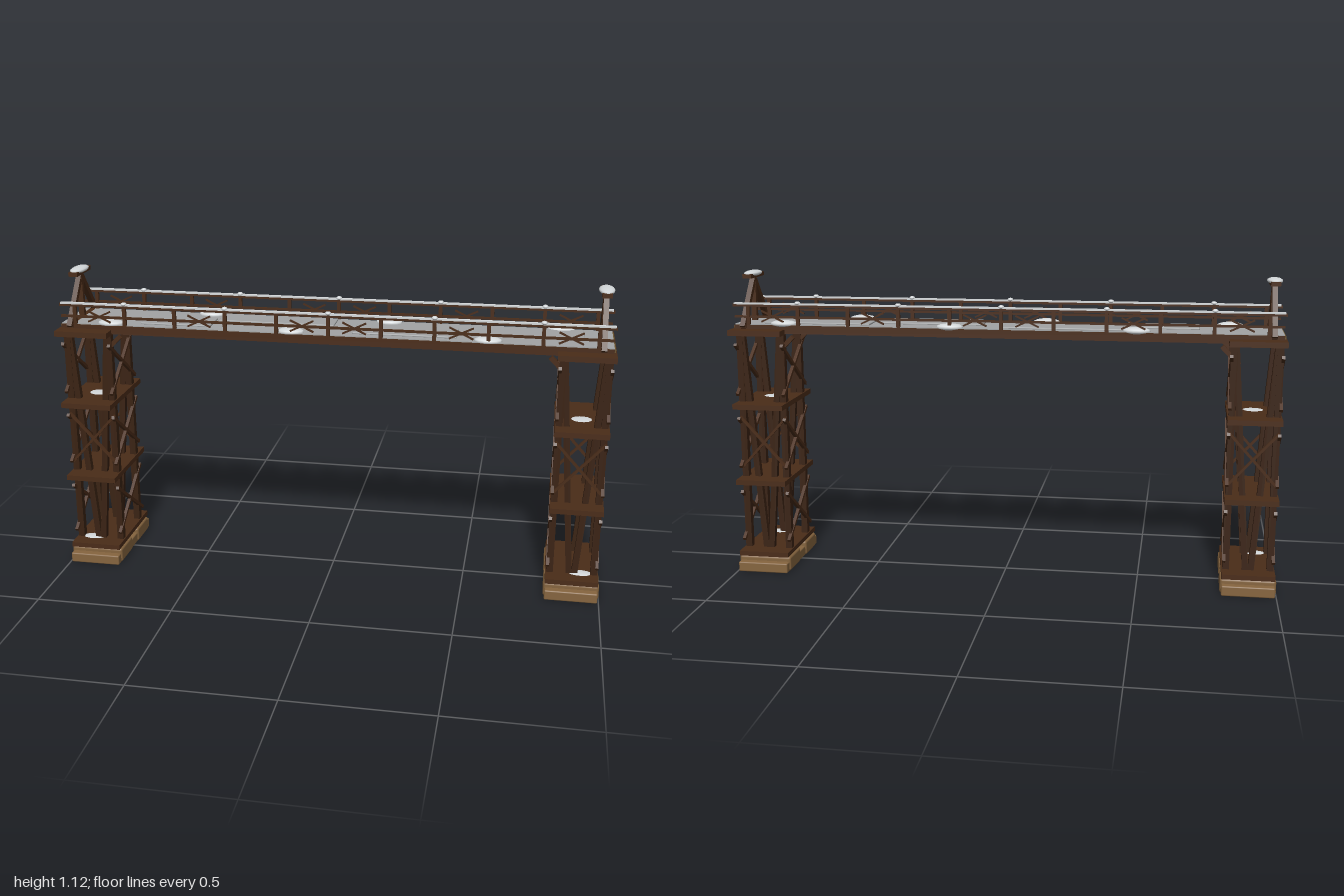
import * as THREE from 'three';
import { RoundedBoxGeometry } from 'three/addons/geometries/RoundedBoxGeometry.js';

const mat = (color) => new THREE.MeshStandardMaterial({ color });
const wood = mat(0x4a2c18), darkWood = mat(0x3a2212), plank = mat(0x6a5530);
const stone = mat(0x86653f), snow = mat(0xd4d8da), packedSnow = mat(0xa2a4a5);

export function createModel() {
  const root = new THREE.Group();
  root.name = 'trestleBridge';

  const add = (parent, name, geometry, material, x = 0, y = 0, z = 0) => {
    const mesh = new THREE.Mesh(geometry, material);
    mesh.name = name;
    mesh.position.set(x, y, z);
    parent.add(mesh);
    return mesh;
  };
  const box = (parent, name, w, h, d, x, y, z, material = wood) =>
    add(parent, name, new THREE.BoxGeometry(w, h, d), material, x, y, z);
  const stoneBlock = (parent, name, w, h, d, x, y, z, r) =>
    add(parent, name, new RoundedBoxGeometry(w, h, d, 2, r), stone, x, y, z);
  const snowLump = (parent, name, rx, ry, rz, x, y, z) => {
    const g = new THREE.SphereGeometry(1, 14, 8).scale(rx, ry, rz);
    return add(parent, name, g, snow, x, y, z);
  };
  // square timber running between two points of the parent's space
  const beam = (parent, name, a, b, t, material = wood) => {
    const p = new THREE.Vector3(...a), q = new THREE.Vector3(...b);
    const mesh = new THREE.Mesh(new THREE.BoxGeometry(t, t, p.distanceTo(q)), material);
    mesh.name = name;
    mesh.position.copy(p).add(q).multiplyScalar(0.5);
    mesh.lookAt(q); // turned before it gets a parent, so the target stays local
    parent.add(mesh);
  };

  // one support tower with its gable
  const tower = (side) => {
    const g = new THREE.Group();
    g.name = side > 0 ? 'leftTower' : 'rightTower';
    g.position.x = side * 0.9;
    root.add(g);

    // footing
    stoneBlock(g, 'footingSlab', 0.19, 0.038, 0.372, 0, 0.019, 0, 0.005);
    for (const z of [-0.097, 0.097]) stoneBlock(g, 'footingBlock', 0.2, 0.057, 0.125, 0, 0.0285, z, 0.01);

    // platforms
    box(g, 'basePlatform', 0.19, 0.018, 0.34, 0, 0.067, 0);
    for (const y of [0.345, 0.633]) box(g, 'middlePlatform', 0.19, 0.019, 0.345, 0, y, 0);
    box(g, 'topPlatform', 0.198, 0.02, 0.352, 0, 0.908, 0);

    for (const z of [-0.097, 0.097]) {
      // corner posts and the inward leaning legs between them
      for (const x of [-0.079, 0.079]) {
        box(g, 'cornerPost', 0.024, 0.84, 0.025, x, 0.487, z, darkWood);
        beam(g, 'leaningLeg', [x * 0.92, 0.9, z], [x * 0.12, 0.07, z], 0.022, darkWood);
      }
      // crossed braces on the front and back faces
      const f = z + Math.sign(z) * 0.016;
      for (const s of [-1, 1])
        beam(g, 'faceBrace', [-s * 0.088, 0.39, f], [s * 0.088, 0.585, f], 0.009);
      // knee brace under the deck
      beam(g, 'kneeBrace', [-side * 0.06, 0.825, z], [-side * 0.122, 0.888, z], 0.016);
    }

    // crossed braces on the end faces
    for (const x of [-0.088, 0.088])
      for (const y of [0.205, 0.488, 0.765])
        for (const s of [-1, 1])
          beam(g, 'endBrace', [x, y - 0.094, -s * 0.131], [x, y + 0.094, s * 0.131], 0.012);

    // gable frame on the deck
    const gx = side * 0.055;
    box(g, 'kingPost', 0.02, 0.17, 0.017, gx, 1.01, 0);
    for (const s of [-1, 1])
      beam(g, 'gableLeg', [gx, 0.925, s * 0.131], [gx, 1.088, s * 0.004], 0.019);
    box(g, 'gableCap', 0.034, 0.015, 0.137, gx, 1.104, 0);
    snowLump(g, 'gableSnow', 0.028, 0.011, 0.064, gx, 1.111, 0);
    box(g, 'gableSill', 0.022, 0.014, 0.26, gx, 0.928, 0);

    // small drifts on the platforms
    snowLump(g, 'platformSnow', 0.045, 0.005, 0.025, 0.03 * side, 0.075, 0.098);
    snowLump(g, 'platformSnow', 0.04, 0.004, 0.035, 0, 0.641, 0.02);
  };
  tower(1);
  tower(-1);

  // deck: side girders, joists, planks and packed snow
  const deck = new THREE.Group();
  deck.name = 'deck';
  root.add(deck);
  for (const z of [-0.112, 0.112]) box(deck, 'girder', 1.98, 0.03, 0.02, 0, 0.917, z);
  for (const z of [-0.04, 0.04]) box(deck, 'stringer', 1.96, 0.012, 0.014, 0, 0.914, z);
  for (let i = 0; i <= 12; i++)
    box(deck, 'joist', 0.016, 0.014, 0.21, -0.96 + i * 0.16, 0.914, 0, darkWood);
  for (let i = 0; i < 5; i++)
    box(deck, 'plank', 1.99, 0.01, 0.044, 0, 0.925, (i - 2) * 0.046, plank);
  box(deck, 'snowCover', 1.98, 0.005, 0.23, 0, 0.9325, 0, packedSnow);

  // raised snow sheets: x, z, width, depth
  for (const [x, z, w, d] of [[-0.215, -0.05, 0.43, 0.1], [-0.57, 0.028, 0.26, 0.115],
    [0.265, 0.022, 0.37, 0.125], [0.69, -0.027, 0.4, 0.125]])
    add(deck, 'snowSheet', new RoundedBoxGeometry(w, 0.008, d, 2, 0.003), packedSnow, x, 0.937, z);

  // drifts along both edges
  for (const [x, z] of [[-0.48, -0.098], [0.19, -0.098], [0.81, -0.098],
    [-0.81, 0.092], [-0.14, 0.092], [0.56, 0.092]])
    snowLump(deck, 'snowDrift', 0.05, 0.014, 0.032, x, 0.936, z);

  // railings
  const bay = 0.1875;
  for (const s of [-1, 1]) {
    const r = new THREE.Group();
    r.name = s > 0 ? 'frontRailing' : 'backRailing';
    r.position.z = s * 0.115;
    root.add(r);
    box(r, 'topRail', 1.99, 0.009, 0.012, 0, 1.004, 0);
    box(r, 'topRailSnow', 1.98, 0.006, 0.014, 0, 1.0105, 0, snow);
    box(r, 'midRail', 1.98, 0.008, 0.009, 0, 0.962, 0);
    for (let i = -5; i <= 5; i++) {
      box(r, 'railPost', 0.013, 0.09, 0.011, i * bay, 0.96, 0);
      if (i % 2 === 0) snowLump(r, 'postSnow', 0.011, 0.007, 0.012, i * bay, 1.014, 0);
    }
    // crossed slats in some bays
    for (const x of [0.094, 0.469, 0.844])
      for (const m of [-1, 1])
        for (const k of [-1, 1])
          beam(r, 'railCross', [m * x - 0.042, 0.965 - k * 0.02, s * 0.006],
            [m * x + 0.042, 0.965 + k * 0.02, s * 0.006], 0.006);
  }
  return root;
}
